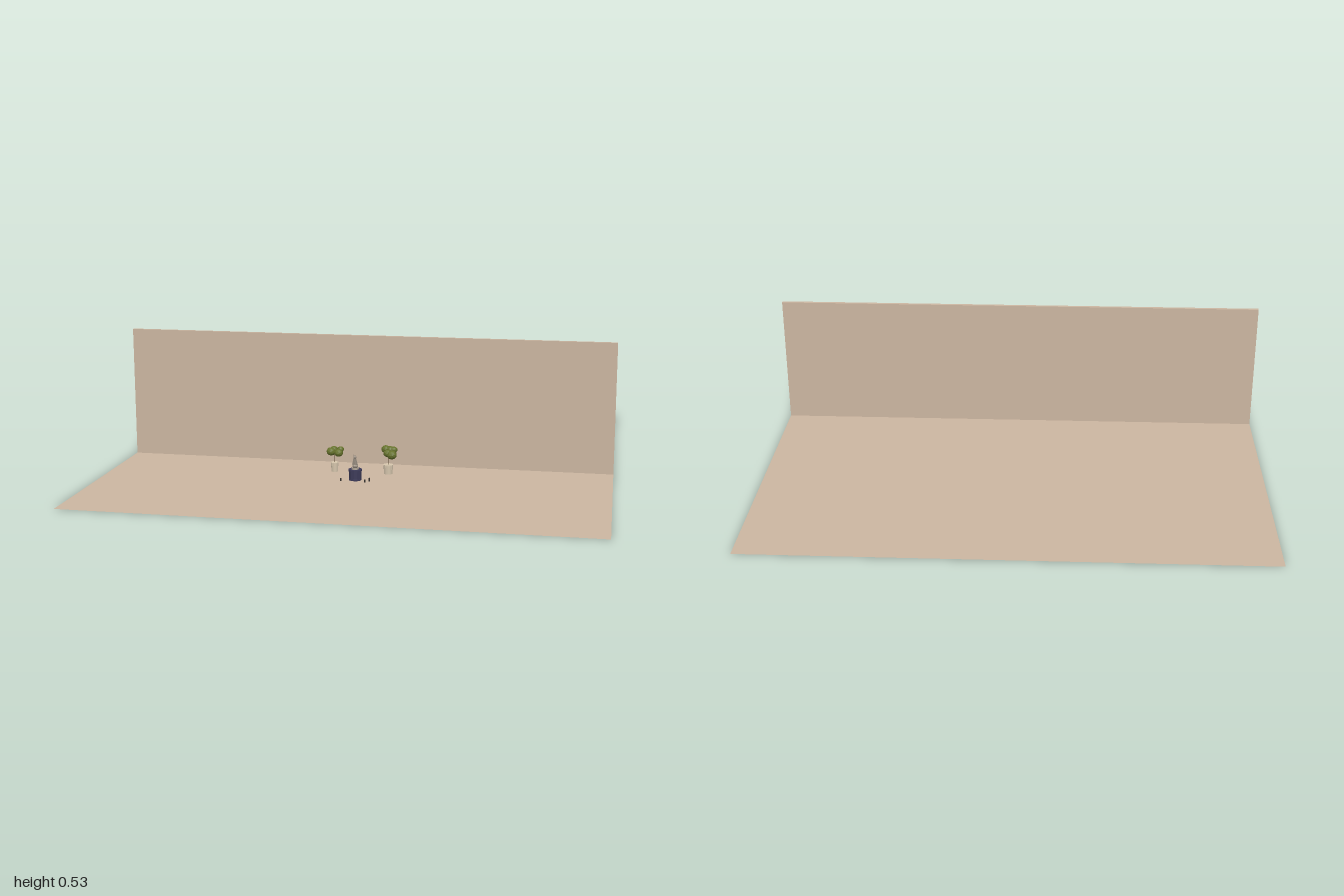
import * as THREE from 'three';

const paint = (name, color, opts = {}) => {
  const m = new THREE.MeshStandardMaterial({ color, ...opts });
  m.name = name;
  return m;
};

export function createModel() {
  const sand = paint('sand', 0xcbb5a0, { side: THREE.DoubleSide });
  const cream = paint('cream', 0xd6c6ad, { flatShading: true });
  const leaf = paint('leaf', 0x66722c, { flatShading: true });
  const bark = paint('bark', 0x5a4630);
  const navy = paint('navy', 0x3c3a58, { flatShading: true });
  const stone = paint('stone', 0x9c9184, { flatShading: true });
  const dark = paint('dark', 0x35322f);

  const model = new THREE.Group();
  const add = (parent, name, geo, mat, x, y, z) => {
    const mesh = new THREE.Mesh(geo, mat);
    mesh.name = name;
    mesh.position.set(x, y, z);
    parent.add(mesh);
    return mesh;
  };
  const group = (name, x, z) => {
    const g = new THREE.Group();
    g.name = name;
    g.position.set(x, 0, z);
    model.add(g);
    return g;
  };

  // Floor sheet and full-width dividing wall
  add(model, 'floor', new THREE.PlaneGeometry(2, 2), sand, 0, 0, 0).rotation.x = -Math.PI / 2;
  add(model, 'wall', new THREE.BoxGeometry(2, 0.533, 0.013), sand, 0, 0.2665, 0.13);

  // Potted shrubs: each lobe is [x, y, z, radius] relative to the pot
  const shrub = (name, x, z, r, lobes) => {
    const g = group(name, x, z);
    add(g, 'pot', new THREE.CylinderGeometry(r, r * 0.92, 0.033, 12), cream, 0, 0.0165, 0);
    add(g, 'potRim', new THREE.CylinderGeometry(r * 1.06, r * 1.06, 0.005, 12), cream, 0, 0.0355, 0);
    add(g, 'stem', new THREE.CylinderGeometry(0.001, 0.0015, 0.04, 6), bark, 0, 0.055, 0);
    lobes.forEach(([lx, ly, lz, lr], i) => {
      const lobe = add(g, 'foliage', new THREE.IcosahedronGeometry(lr, 1), leaf, lx, ly, lz);
      lobe.scale.y = 0.9;
      lobe.rotation.y = i * 1.3;
    });
  };
  shrub('rightShrub', -0.107, 0.287, 0.015, [
    [-0.014, 0.082, 0.001, 0.019], [0.017, 0.078, 0.004, 0.018],
    [0.023, 0.09, -0.007, 0.014], [-0.005, 0.088, -0.009, 0.016],
  ]);
  shrub('leftShrub', 0.112, 0.285, 0.019, [
    [-0.013, 0.097, -0.015, 0.018], [0.015, 0.078, 0.003, 0.02],
    [0.005, 0.093, -0.02, 0.018], [0.02, 0.095, -0.016, 0.015],
    [-0.004, 0.083, -0.003, 0.017],
  ]);

  // Pedestal with a projecting cap and base
  const statue = group('statue', 0, 0.4);
  add(statue, 'pedestalBase', new THREE.CylinderGeometry(0.026, 0.026, 0.006, 12), navy, 0, 0.003, 0);
  add(statue, 'pedestal', new THREE.CylinderGeometry(0.0245, 0.0245, 0.03, 12), navy, 0, 0.021, 0);
  add(statue, 'pedestalCap', new THREE.CylinderGeometry(0.027, 0.027, 0.007, 12), navy, 0, 0.0395, 0);

  // Seated stone figure leaning slightly forward
  add(statue, 'plinth', new THREE.CylinderGeometry(0.013, 0.015, 0.006, 10), stone, 0, 0.046, 0);
  const lap = add(statue, 'lap', new THREE.SphereGeometry(0.012, 10, 7), stone, 0, 0.056, -0.002);
  lap.scale.set(1, 0.8, 1.1);
  const torso = add(statue, 'torso', new THREE.CylinderGeometry(0.005, 0.009, 0.032, 8), stone, 0, 0.073, 0.002);
  torso.rotation.x = 0.2;
  add(statue, 'head', new THREE.SphereGeometry(0.0065, 8, 6), stone, 0, 0.092, 0.006);
  for (const side of [-1, 1]) {
    const arm = add(statue, 'arm', new THREE.CylinderGeometry(0.002, 0.0025, 0.022, 6), stone, side * 0.007, 0.073, 0.006);
    arm.rotation.set(0.1, 0, side * 0.2);
    const point = add(statue, 'crest', new THREE.ConeGeometry(0.002, 0.01, 6), stone, side * 0.004, 0.1, 0.006);
    point.rotation.z = -side * 0.15;
  }

  // Small offerings on the floor around the pedestal
  for (const [x, z, h] of [[-0.053, 0.428, 0.01], [0.045, 0.435, 0.012], [0.059, 0.416, 0.014]]) {
    add(model, 'offering', new THREE.CylinderGeometry(0.003, 0.003, h, 8), dark, x, h / 2, z);
  }

  return model;
}
